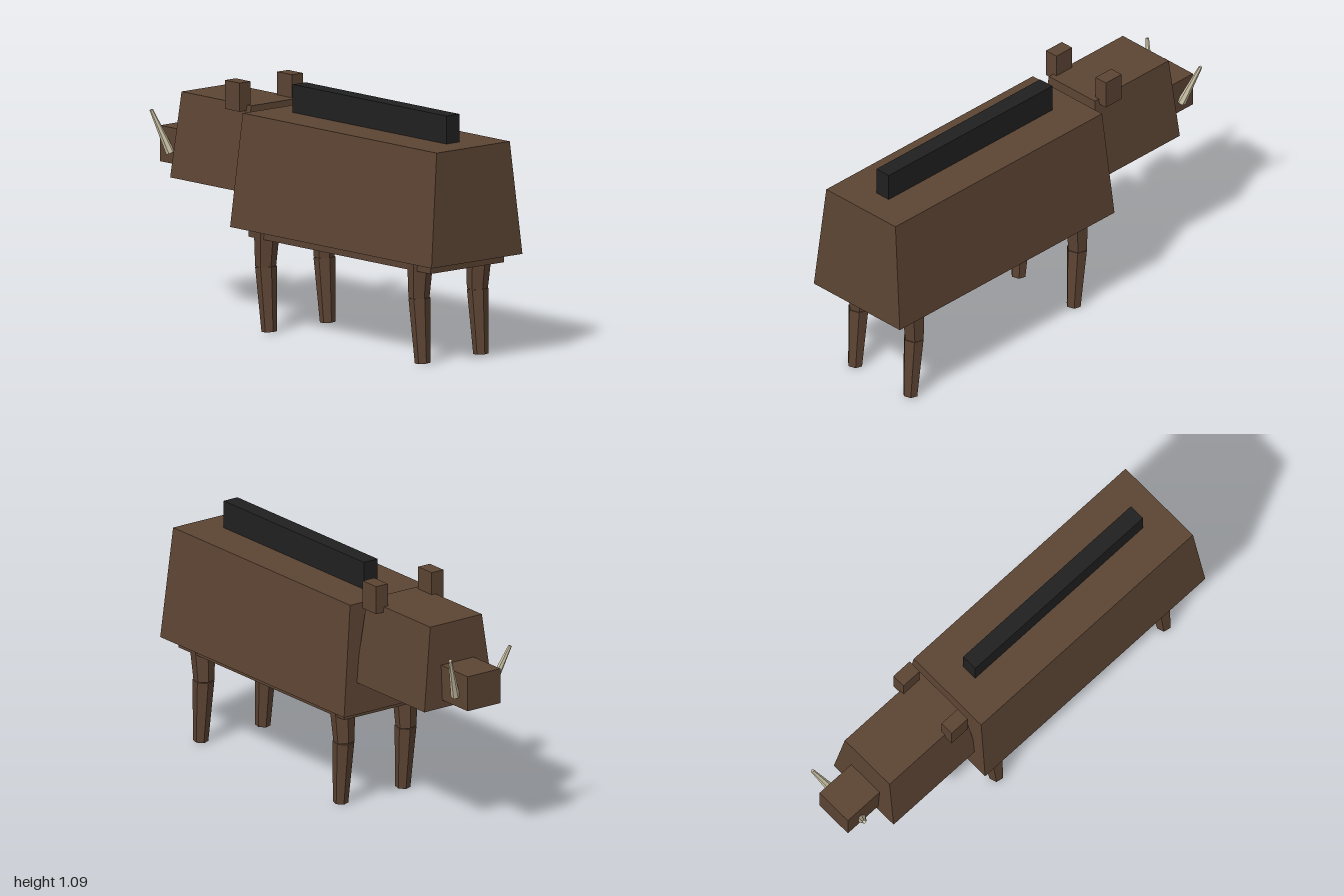
import * as THREE from 'three';

const hide = new THREE.MeshStandardMaterial({ color: 0x5c4433, flatShading: true });
hide.name = 'brownHide';
const bristle = new THREE.MeshStandardMaterial({ color: 0x202020, flatShading: true });
bristle.name = 'blackBristle';
const ivory = new THREE.MeshStandardMaterial({ color: 0xcfc4a8, flatShading: true });
ivory.name = 'ivory';

// Block between y0 and y1; each end is [half width, z min, z max]
function block(name, material, y0, y1, bottom, top = bottom) {
  const g = new THREE.BoxGeometry(1, 1, 1);
  const p = g.attributes.position;
  for (let i = 0; i < p.count; i++) {
    const up = p.getY(i) > 0;
    const [w, back, front] = up ? top : bottom;
    p.setXYZ(i, Math.sign(p.getX(i)) * w, up ? y1 : y0, p.getZ(i) > 0 ? front : back);
  }
  g.computeVertexNormals();
  const mesh = new THREE.Mesh(g, material);
  mesh.name = name;
  return mesh;
}

// Tapered six-sided rod from a to b
function rod(name, material, a, b, ra, rb, twist = 0) {
  const start = new THREE.Vector3(...a);
  const end = new THREE.Vector3(...b);
  const dir = end.clone().sub(start);
  const g = new THREE.CylinderGeometry(rb, ra, dir.length(), 6);
  g.rotateY(twist);
  const mesh = new THREE.Mesh(g, material);
  mesh.name = name;
  mesh.position.copy(start).add(end).multiplyScalar(0.5);
  mesh.quaternion.setFromUnitVectors(new THREE.Vector3(0, 1, 0), dir.normalize());
  return mesh;
}

export function createModel() {
  const model = new THREE.Group();
  model.name = 'boar';

  // Trunk, belly and the ridge of bristles
  model.add(
    block('body', hide, 0.46, 0.965, [0.266, -0.335, 1], [0.214, -0.31, 0.975]),
    block('belly', hide, 0.42, 0.47, [0.216, -0.27, 0.935]),
    block('mane', bristle, 0.95, 1.09, [0.038, -0.178, 0.84])
  );

  // Head and snout
  model.add(
    block('head', hide, 0.605, 0.985, [0.19, -0.818, -0.315], [0.142, -0.797, -0.337]),
    block('snout', hide, 0.64, 0.8, [0.09, -1, -0.79])
  );

  // Ears and tusks
  for (const s of [1, -1]) {
    const side = s > 0 ? 'left' : 'right';
    const ear = block(side + 'Ear', hide, 0.96, 1.088, [0.032, -0.461, -0.363]);
    ear.position.x = s * 0.153;
    model.add(ear);
    model.add(rod(side + 'Tusk', ivory, [s * 0.098, 0.69, -0.921], [s * 0.165, 0.883, -0.972], 0.02, 0.008));
  }

  // Legs, each an upper and a lower tapered segment
  for (const [pair, dz] of [['front', -1.016], ['back', 0]]) {
    for (const s of [1, -1]) {
      const leg = new THREE.Group();
      leg.name = pair + (s > 0 ? 'Left' : 'Right') + 'Leg';
      leg.add(
        rod('upperLeg', hide, [s * 0.171, 0.292, 0.812], [s * 0.172, 0.5, 0.824], 0.046, 0.06, -0.2),
        rod('lowerLeg', hide, [s * 0.171, 0.004, 0.836], [s * 0.171, 0.292, 0.815], 0.034, 0.048, -0.2)
      );
      leg.position.set(-0.003, 0, dz);
      model.add(leg);
    }
  }
  return model;
}
